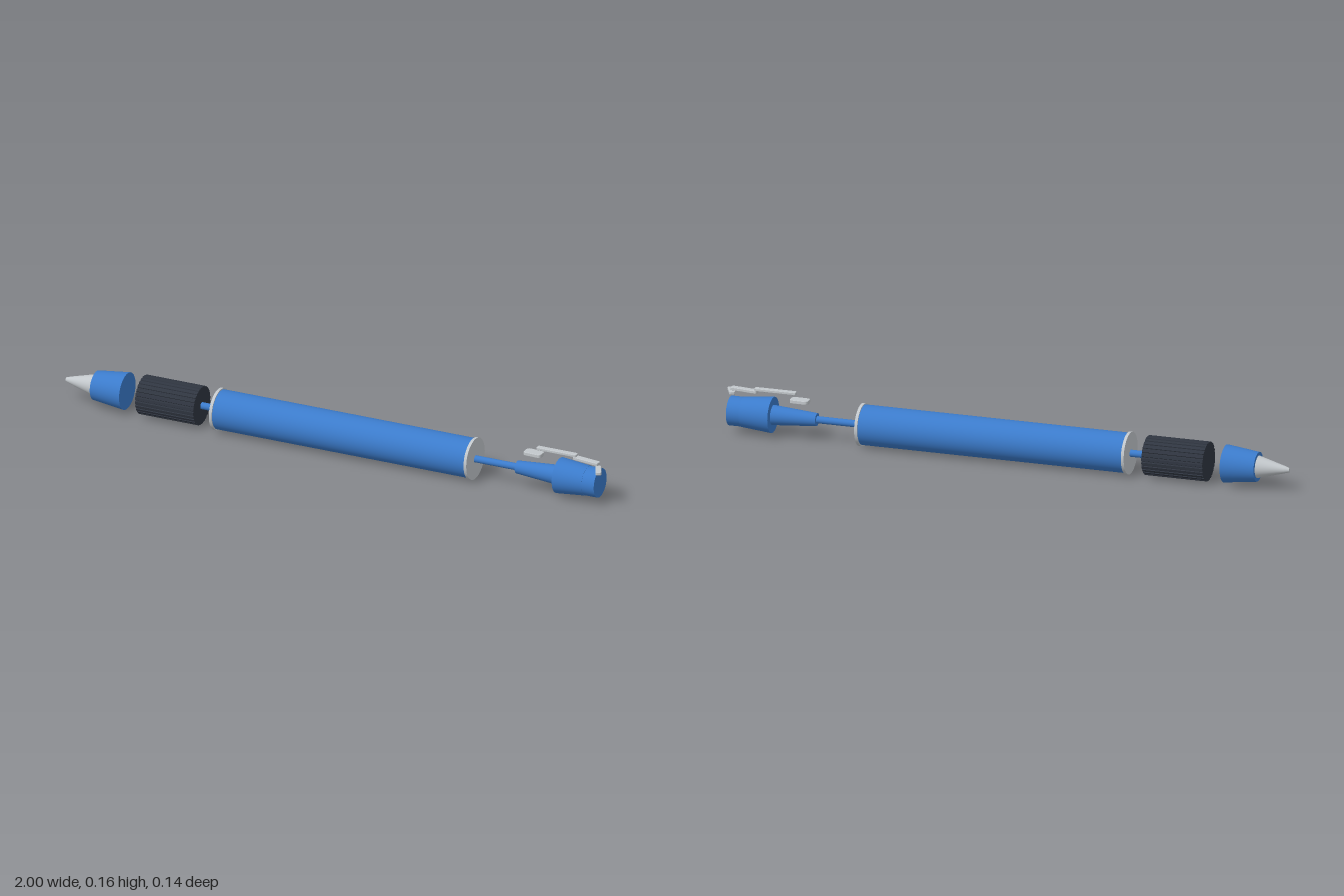
import * as THREE from 'three';

const AXIS_Y = 0.072;

export function createModel() {
  const model = new THREE.Group();
  model.name = 'explodedPen';
  const mat = (name, color) => new THREE.MeshStandardMaterial({ name, color });
  const blue = mat('blue plastic', 0x3b7bcb);
  const silver = mat('silver metal', 0xc2c7cb);
  const dark = mat('dark rubber', 0x2f3540);

  const add = (name, geometry, material) => {
    const mesh = new THREE.Mesh(geometry, material);
    mesh.name = name;
    model.add(mesh);
    return mesh;
  };

  // Round part lying along x, radius r0 at x0 and r1 at x1
  const round = (name, x0, r0, x1, r1, material) => {
    const g = new THREE.CylinderGeometry(r1, r0, x1 - x0, 48);
    g.rotateZ(-Math.PI / 2);
    g.translate((x0 + x1) / 2, AXIS_Y, 0);
    return add(name, g, material);
  };

  // Writing end
  round('tipPoint', -1, 0.007, -0.985, 0.012, silver);
  round('tipCone', -0.985, 0.012, -0.89, 0.038, silver);
  round('noseCone', -0.89, 0.05, -0.775, 0.064, blue);

  // Fluted grip: ring of raised ribs extruded along x
  const ribs = 28, pts = [];
  for (let i = 0; i < ribs; i++) {
    for (const [f, r] of [[0, 0.067], [0.6, 0.067], [0.7, 0.064], [0.9, 0.064]]) {
      const a = ((i + f) / ribs) * Math.PI * 2;
      pts.push(new THREE.Vector2(Math.cos(a) * r, Math.sin(a) * r));
    }
  }
  const grip = new THREE.ExtrudeGeometry(new THREE.Shape(pts), { depth: 0.215, bevelEnabled: false });
  grip.rotateY(Math.PI / 2);
  grip.translate(-0.715, AXIS_Y, 0);
  add('grip', grip, dark);

  // Inner refill and barrel with end rings
  round('refill', -0.52, 0.012, 0.68, 0.012, blue);
  round('barrel', -0.432, 0.068, 0.502, 0.068, blue);
  round('frontRing', -0.44, 0.072, -0.43, 0.072, silver);
  round('rearRing', 0.5, 0.072, 0.51, 0.072, silver);

  // Plunger and push button
  round('plungerStem', 0.665, 0.022, 0.82, 0.034, blue);
  round('plungerHead', 0.82, 0.061, 0.925, 0.051, blue);
  round('pushButton', 0.925, 0.05, 0.97, 0.05, blue);

  // Clip pieces: flat bars with rounded corners, laid between two points
  const bar = (name, x0, z0, x1, z1, width, y, thick) => {
    const l = Math.hypot(x1 - x0, z1 - z0), h = width / 2, r = h * 0.6, b = 0.002;
    const s = new THREE.Shape();
    s.moveTo(r, -h).lineTo(l - r, -h).quadraticCurveTo(l, -h, l, -h + r);
    s.lineTo(l, h - r).quadraticCurveTo(l, h, l - r, h);
    s.lineTo(r, h).quadraticCurveTo(0, h, 0, h - r);
    s.lineTo(0, -h + r).quadraticCurveTo(0, -h, r, -h);
    const g = new THREE.ExtrudeGeometry(s, {
      depth: thick - 2 * b, bevelThickness: b, bevelSize: b, bevelOffset: -b,
      bevelSegments: 2, curveSegments: 6,
    });
    g.translate(0, 0, -(thick - 2 * b) / 2);
    g.rotateX(-Math.PI / 2);
    const m = add(name, g, silver);
    m.rotation.y = -Math.atan2(z1 - z0, x1 - x0);
    m.position.set(x0, y, z0);
  };
  bar('clipFoot', 0.692, -0.004, 0.757, -0.002, 0.038, 0.132, 0.013);
  bar('clipArm', 0.738, 0, 0.885, 0, 0.02, 0.156, 0.01);
  bar('clipBridge', 0.875, 0, 0.972, 0.014, 0.022, 0.147, 0.011);
  bar('clipHook', 0.965, 0.004, 0.991, 0.057, 0.02, 0.131, 0.011);

  return model;
}
